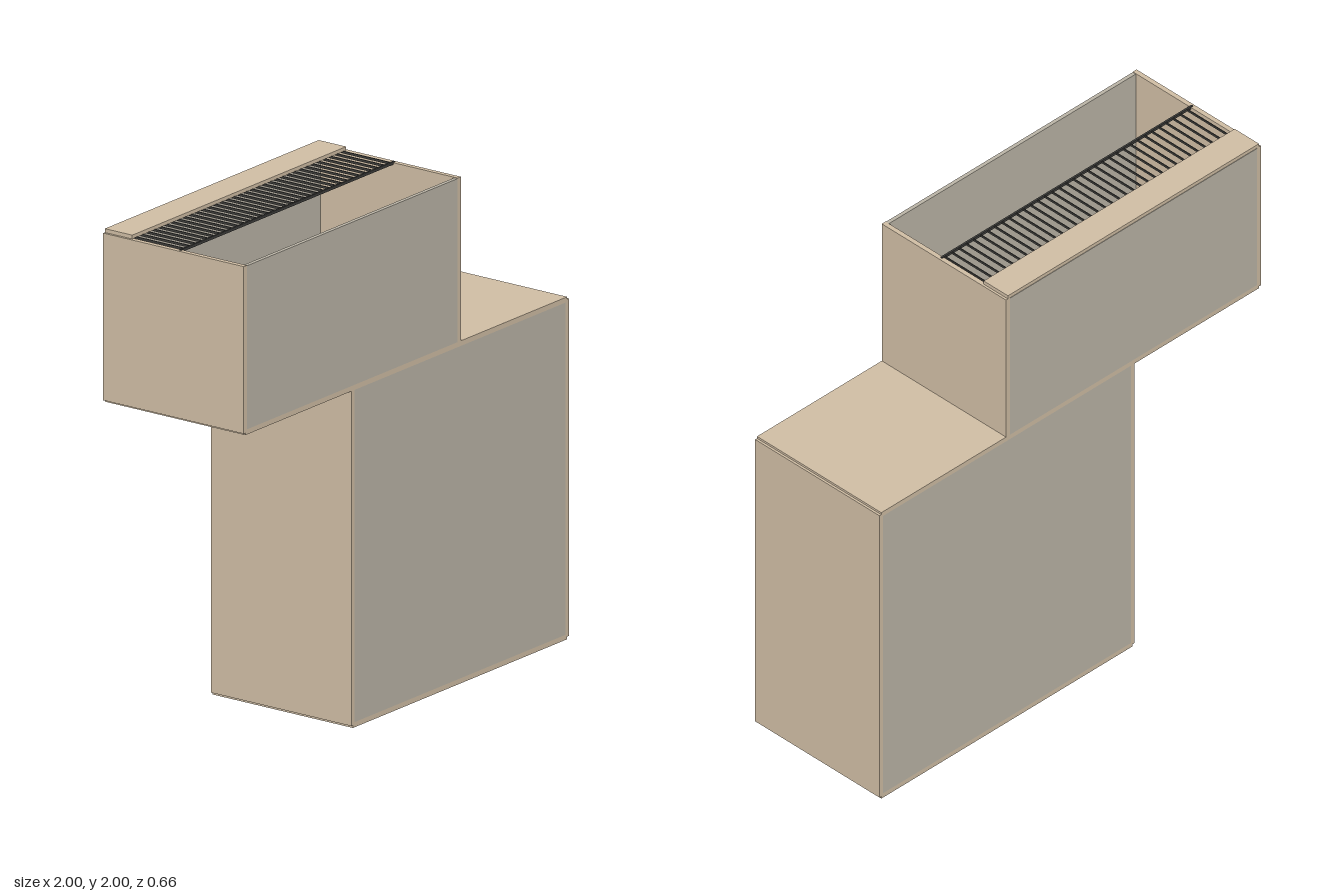
import * as THREE from 'three';

const mat = (color) => new THREE.MeshStandardMaterial({ color });
const WOOD = mat(0xcfbda4), PANEL = mat(0xbab4a6), DARK = mat(0x3c3c3a);
const BLACK = mat(0x0c0c0c), GLASS = mat(0x7fd0c8), GRILLE = mat(0x707478);

// Box given by its limits on each axis
function slab(parent, name, material, [x0, x1], [y0, y1], [z0, z1]) {
  const mesh = new THREE.Mesh(new THREE.BoxGeometry(x1 - x0, y1 - y0, z1 - z0), material);
  mesh.position.set((x0 + x1) / 2, (y0 + y1) / 2, (z0 + z1) / 2);
  mesh.name = name;
  parent.add(mesh);
  return mesh;
}

// Horizontal board with a rectangular opening
function boardWithOpening(parent, name, [x0, x1], [y0, y1], [z0, z1], [hx0, hx1], [hz0, hz1]) {
  const rect = (path, a, b, c, d) =>
    path.moveTo(a, -d).lineTo(b, -d).lineTo(b, -c).lineTo(a, -c).closePath();
  const shape = new THREE.Shape();
  rect(shape, x0, x1, z0, z1);
  const hole = new THREE.Path();
  rect(hole, hx0, hx1, hz0, hz1);
  shape.holes.push(hole);
  const geo = new THREE.ExtrudeGeometry(shape, { depth: y1 - y0, bevelEnabled: false });
  geo.rotateX(-Math.PI / 2);
  const mesh = new THREE.Mesh(geo, WOOD);
  mesh.position.y = y0;
  mesh.name = name;
  parent.add(mesh);
}

// Framed window lying flat, divided into equal panes along x or z
function flatWindow(parent, name, xs, [y0, y1], zs, panes, axis, paneMaterial, t) {
  const g = new THREE.Group();
  g.name = name;
  const inset = (y1 - y0) * 0.2;
  slab(g, 'panes', paneMaterial, xs, [y0 + inset, y1 - inset], zs);
  const along = axis === 'x' ? xs : zs;
  const across = axis === 'x' ? zs : xs;
  const bar = (n, a, c) => slab(g, n, BLACK, axis === 'x' ? a : c, [y0, y1], axis === 'x' ? c : a);
  for (let i = 0; i <= panes; i++) {
    const p = along[0] + (along[1] - along[0] - t) * i / panes;
    bar('divider', [p, p + t], across);
  }
  bar('frameEdge', along, [across[0], across[0] + t]);
  bar('frameEdge', along, [across[1] - t, across[1]]);
  parent.add(g);
}

const T = 0.02;
const Z = [-0.328, 0.328];

// Side boards and flush front and back panels of one box
function boxWalls(parent, name, [x0, x1], [y0, y1], [panelY0, panelY1]) {
  const g = new THREE.Group();
  g.name = name;
  slab(g, 'sideBoard', WOOD, [x0, x0 + T], [y0, y1], Z);
  slab(g, 'sideBoard', WOOD, [x1 - T, x1], [y0, y1], Z);
  for (const [n, a, b] of [['frontPanel', Z[1] - 0.016, Z[1]], ['backPanel', Z[0], Z[0] + 0.016]]) {
    slab(g, n, PANEL, [x0 + T, x1 - T], [panelY0, panelY1], [a, b]);
  }
  parent.add(g);
  return g;
}

export function createModel() {
  const model = new THREE.Group();
  model.name = 'steppedBoxes';

  // Lower box, closed, with a grille in its base
  const lower = boxWalls(model, 'lowerBox', [-0.338, 1], [0.01, 1.333], [T, 1.322]);
  boardWithOpening(lower, 'baseBoard', [-0.328, 0.99], [0, T], Z, [0.57, 0.76], [-0.19, 0.18]);
  flatWindow(lower, 'baseGrille', [0.57, 0.76], [0.002, 0.018], [-0.19, 0.18], 3, 'z', GRILLE, 0.012);

  // Middle board: roof of the lower box and floor of the upper one
  boardWithOpening(model, 'middleBoard', [-0.99, 0.99], [1.322, 1.342], Z, [-0.288, 0.273], [-0.195, 0.172]);
  flatWindow(model, 'floorWindow', [-0.288, 0.273], [1.324, 1.348], [-0.195, 0.172], 4, 'x', GLASS, 0.012);

  // Upper box, open at the top
  const upper = boxWalls(model, 'upperBox', [-1, 0.336], [1.33, 1.985], [1.342, 1.983]);

  // Lid board along the back
  slab(upper, 'backLid', WOOD, [-0.99, 0.326], [1.985, 2], [-0.328, -0.2]);

  // Slatted rack between the lid and a thin rail
  const rack = new THREE.Group();
  rack.name = 'slattedRack';
  slab(rack, 'rackRail', DARK, [-0.99, 0.326], [1.978, 1.989], [0.02, 0.028]);
  for (let i = 0; i < 35; i++) {
    const x = -0.962 + i * 0.0374;
    slab(rack, 'slat', DARK, [x - 0.002, x + 0.002], [1.978, 1.987], [-0.21, 0.022]);
  }
  upper.add(rack);

  return model;
}
